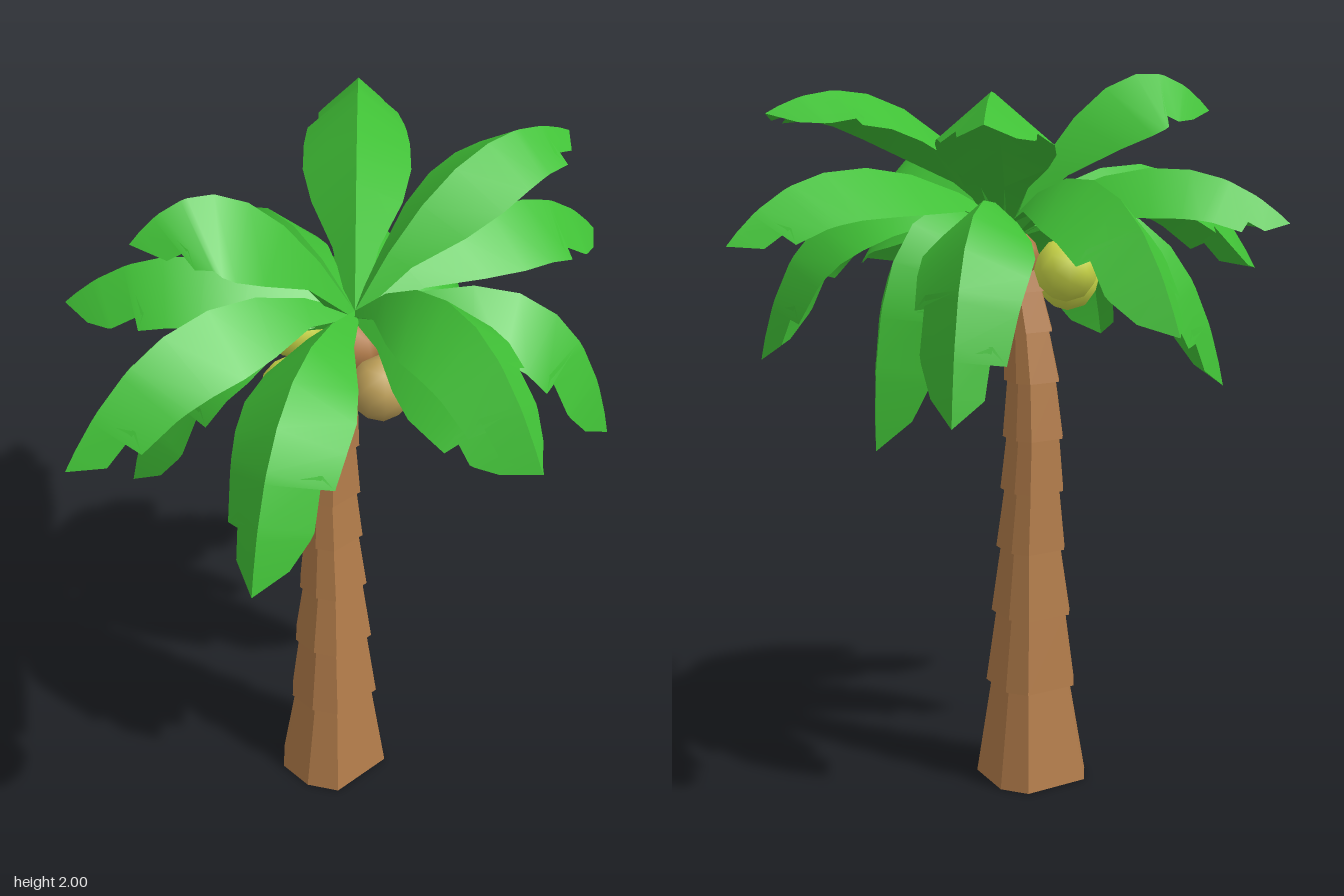
import * as THREE from 'three';
import { toCreasedNormals } from 'three/addons/utils/BufferGeometryUtils.js';

const material = (name, color) => {
  const m = new THREE.MeshStandardMaterial({ color });
  m.name = name;
  return m;
};

// Uneven trunk outline [x, z], and rings: [y, centre x, centre z, radius above, radius below]
const OUTLINE = [[-0.6, 0.88], [0.73, 0.78], [1, -0.35], [0.73, -0.86],
  [-0.6, -0.88], [-1, -0.4], [-0.97, 0.35]];
const RINGS = [
  [0, -0.05, -0.043, 0.15, 0.15], [0.28, -0.045, -0.045, 0.121, 0.107],
  [0.49, -0.042, -0.05, 0.107, 0.094], [0.68, -0.037, -0.055, 0.093, 0.081],
  [0.85, -0.036, -0.062, 0.085, 0.074], [1.0, -0.036, -0.066, 0.081, 0.071],
  [1.16, -0.034, -0.062, 0.074, 0.065], [1.3, -0.029, -0.048, 0.067, 0.058],
  [1.41, -0.022, -0.028, 0.062, 0.056], [1.52, -0.008, 0, 0.05, 0.056],
];

// One trunk section, sheared so that it leans from ring a to ring b
function trunkSection(a, b) {
  const n = OUTLINE.length;
  const g = new THREE.CylinderGeometry(1, 1, 1, n);
  const p = g.attributes.position;
  for (let i = 0; i < p.count; i++) {
    const [ring, r] = p.getY(i) > 0 ? [b, b[4]] : [a, a[3]];
    const turn = Math.atan2(p.getX(i), p.getZ(i)) / (2 * Math.PI);
    const onRim = Math.hypot(p.getX(i), p.getZ(i)) > 0.5;
    const [x, z] = onRim ? OUTLINE[(Math.round(turn * n) + n) % n] : [0, 0];
    p.setXYZ(i, ring[1] + x * r, ring[0], ring[2] + z * r);
  }
  return toCreasedNormals(g, 0.3);
}

// Frond outline: rib positions, then [position, width] of each notched edge
const RIB = [0, 0.15, 0.3, 0.45, 0.6, 0.72, 0.75, 0.85, 0.88, 0.95, 1];
const EDGE_A = [[0, 0.1], [0.15, 0.42], [0.3, 0.82], [0.45, 1], [0.6, 1], [0.74, 0.95],
  [0.7, 0.74], [0.86, 0.76], [0.88, 0.72], [0.95, 0.48], [1, 0]];
const EDGE_B = [[0, 0.1], [0.15, 0.42], [0.3, 0.84], [0.45, 1], [0.6, 0.98], [0.7, 0.92],
  [0.75, 0.88], [0.88, 0.76], [0.84, 0.54], [0.95, 0.46], [1, 0]];

// Folded leaf along an arch from the crown to its tip
function frond([x, y, z, reach, peak, width, fold = 0.85], flip) {
  const curve = new THREE.QuadraticBezierCurve3(
    new THREE.Vector3(0, 1.6, 0),
    new THREE.Vector3(x * reach, peak, z * reach),
    new THREE.Vector3(x, y, z));
  const side = new THREE.Vector3(-z, 0, x).normalize();
  const at = (t, s, n) => {
    const normal = side.clone().cross(curve.getTangent(t)).normalize();
    return curve.getPoint(t).addScaledVector(side, s).addScaledVector(normal, n);
  };
  const [right, left] = flip ? [EDGE_B, EDGE_A] : [EDGE_A, EDGE_B];
  const pos = [], index = [];
  RIB.forEach((t, i) => {
    const thick = 0.05 * (1 - t * t);
    const edge = ([te, w], sign) => at(te, sign * w * width, -fold * w * width);
    for (const v of [at(t, 0, 0), edge(right[i], 1), at(t, 0, -thick), edge(left[i], -1)]) {
      pos.push(v.x, v.y, v.z);
    }
    if (i === 0) return;
    for (let k = 0; k < 4; k++) {
      const a = (i - 1) * 4 + k, b = (i - 1) * 4 + (k + 1) % 4;
      index.push(a, b, b + 4, a, b + 4, a + 4);
    }
  });
  const g = new THREE.BufferGeometry();
  g.setAttribute('position', new THREE.Float32BufferAttribute(pos, 3));
  g.setIndex(index);
  return toCreasedNormals(g, 0.45);
}

// Fronds: tip x, y, z, arch reach (share of the tip distance), arch control height,
// half width, and fold depth where it differs
const FRONDS = [
  [0.86, 1.57, 0.04, 0.65, 1.93, 0.16, 0.75], [0.75, 1.9, 0.02, 0.5, 2.1, 0.15, 0.6],
  [-0.55, 1.9, -0.21, 0.55, 2.21, 0.16, 0.95], [0.56, 1.88, -0.65, 0.5, 2.12, 0.15],
  [0.06, 1.36, -0.78, 0.65, 1.96, 0.15], [-0.06, 1.52, 0.77, 0.6, 2.06, 0.145],
  [0.01, 1.45, 0.71, 0.72, 1.78, 0.15, 1], [-0.65, 1.2, 0.38, 0.8, 1.86, 0.15],
  [0.54, 1.21, 0.44, 0.85, 1.86, 0.15], [0.49, 1.02, -0.07, 1.05, 1.86, 0.155],
  [0.5, 1.13, -0.43, 0.88, 1.88, 0.15], [-0.56, 1.6, -0.53, 0.6, 1.9, 0.15],
  [-0.87, 1.43, -0.08, 0.62, 1.97, 0.15], [-0.53, 1.13, -0.31, 0.8, 1.8, 0.145],
];

export function createModel() {
  const bark = material('bark brown', 0xb27c4a);
  const leaf = material('leaf green', 0x40c036);
  const unripe = material('unripe yellow green', 0xcfdc4a);
  const ripe = material('ripe tan', 0xbd9f58);

  const model = new THREE.Group();
  model.name = 'palmTree';
  const add = (parent, name, geometry, mat) => {
    const mesh = new THREE.Mesh(geometry, mat);
    mesh.name = name;
    parent.add(mesh);
    return mesh;
  };
  const section = (name) => {
    const group = new THREE.Group();
    group.name = name;
    model.add(group);
    return group;
  };

  const trunk = section('trunk');
  for (let i = 1; i < RINGS.length; i++) {
    add(trunk, 'trunkSection' + i, trunkSection(RINGS[i - 1], RINGS[i]), bark);
  }

  const crown = section('crown');
  FRONDS.forEach((f, i) => add(crown, 'frond' + (i + 1), frond(f, i % 2 === 1), leaf));

  // Round trunk head and the coconuts hanging around it
  const fruit = section('coconuts');
  const ball = (name, x, y, z, r, mat) =>
    add(fruit, name, toCreasedNormals(new THREE.IcosahedronGeometry(r, 1), 0.8), mat)
      .position.set(x, y, z);
  ball('trunkHead', -0.01, 1.5, 0, 0.08, bark);
  ball('sideCoconut', -0.195, 1.43, -0.02, 0.088, unripe);
  ball('backCoconut', -0.045, 1.48, -0.2, 0.088, unripe);
  ball('frontCoconut', -0.05, 1.46, 0.165, 0.087, ripe);

  return model;
}
